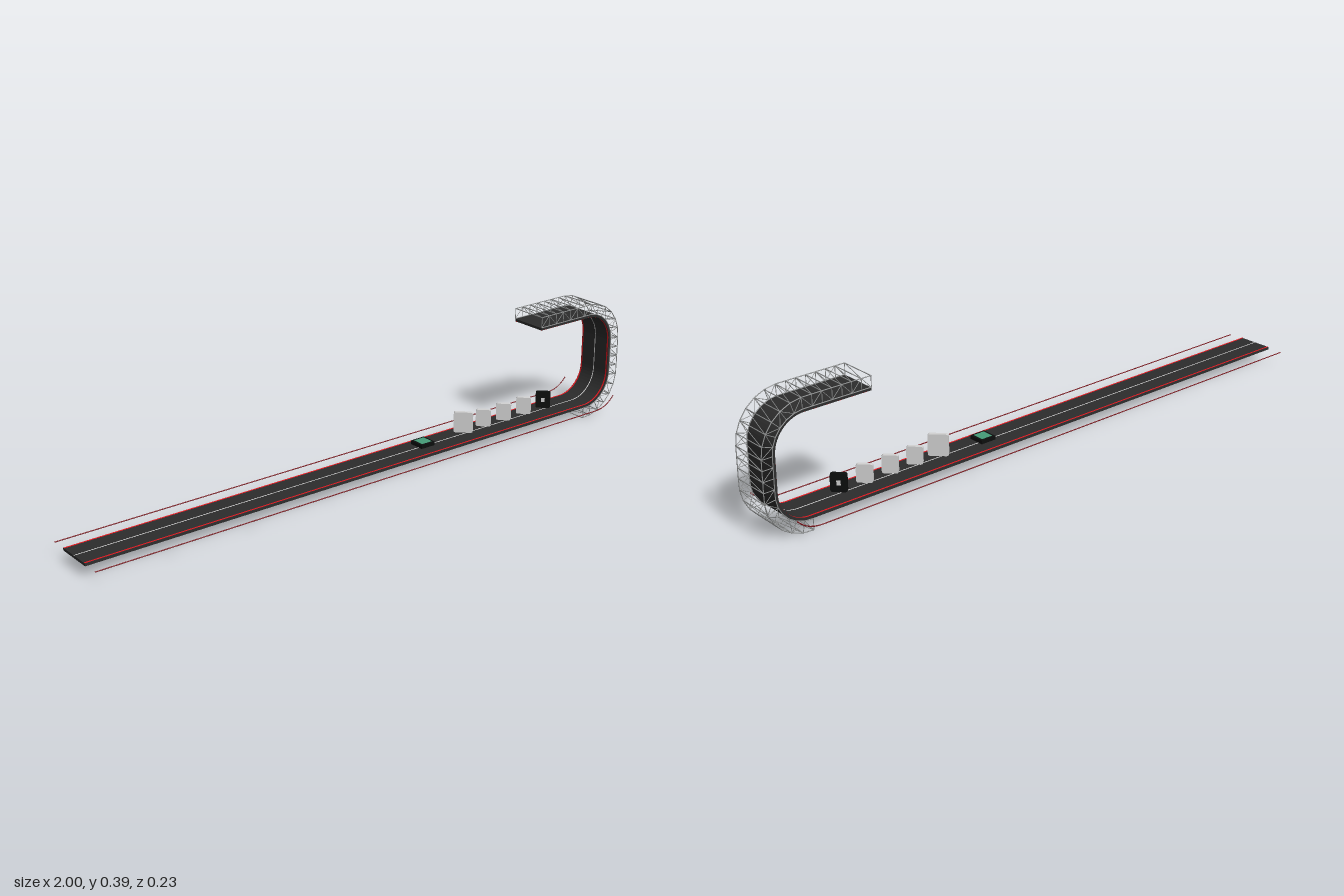
import * as THREE from 'three';
import { mergeGeometries } from 'three/addons/utils/BufferGeometryUtils.js';

const material = (name, color, side = THREE.FrontSide) => {
  const m = new THREE.MeshStandardMaterial({ color, side });
  m.name = name;
  return m;
};

// Road line in the x-y plane: flat run, quarter bend, wall, quarter bend, roof.
const R = 0.1, BEND = R * Math.PI / 2, WALL = 0.112, ROOF = 0.215;
const START = 0.86, BASE = 0.04;
const FIRST = -1 - START, END = 2 * BEND + WALL + ROOF;

// Point at distance s past the first bend's start, shifted by n towards the driving side.
function onRoad(s, n = 0) {
  const x0 = START, y0 = BASE + R, r = R - n;
  if (s <= 0) return new THREE.Vector2(x0 + s, BASE + n);
  if (s <= BEND) {
    const a = s / R;
    return new THREE.Vector2(x0 + r * Math.sin(a), y0 - r * Math.cos(a));
  }
  if (s <= BEND + WALL) return new THREE.Vector2(x0 + r, y0 + s - BEND);
  const a = (s - WALL) / R;
  if (a <= Math.PI) return new THREE.Vector2(x0 + r * Math.sin(a), y0 + WALL - r * Math.cos(a));
  return new THREE.Vector2(x0 - (s - 2 * BEND - WALL), y0 + WALL + r);
}

// Solid road slab following the whole line.
function slab(thickness, width) {
  const stops = [FIRST];
  for (let i = 0; i <= 14; i++) stops.push(BEND * i / 14);
  for (let i = 0; i <= 14; i++) stops.push(BEND + WALL + BEND * i / 14);
  stops.push(END);
  const lower = stops.map((s) => onRoad(s, -thickness / 2));
  const upper = stops.map((s) => onRoad(s, thickness / 2)).reverse();
  const g = new THREE.ExtrudeGeometry(new THREE.Shape([...lower, ...upper]), { depth: width, bevelEnabled: false });
  return g.translate(0, 0, -width / 2);
}

// Flat painted line lying just above the road.
function paintedLine(z, width) {
  const g = new THREE.PlaneGeometry(1, width, 240, 1), p = g.attributes.position;
  for (let i = 0; i < p.count; i++) {
    const q = onRoad(THREE.MathUtils.lerp(FIRST, END, p.getX(i) + 0.5), 0.0048);
    p.setXYZ(i, q.x, q.y, z - p.getY(i));
  }
  g.computeVertexNormals();
  return g;
}

// Thin round bar between two points.
function bar(a, b, r = 0.0011) {
  const d = b.clone().sub(a);
  const g = new THREE.CylinderGeometry(r, r, d.length(), 12, 1, true);
  g.applyQuaternion(new THREE.Quaternion().setFromUnitVectors(new THREE.Vector3(0, 1, 0), d.normalize()));
  const mid = a.clone().add(b).multiplyScalar(0.5);
  return g.translate(mid.x, mid.y, mid.z);
}

function roundedSlab(w, h, depth, radius) {
  const s = new THREE.Shape(), x = w / 2, y = h / 2, r = radius;
  s.moveTo(-x + r, -y);
  s.lineTo(x - r, -y);
  s.quadraticCurveTo(x, -y, x, -y + r);
  s.lineTo(x, y - r);
  s.quadraticCurveTo(x, y, x - r, y);
  s.lineTo(-x + r, y);
  s.quadraticCurveTo(-x, y, -x, y - r);
  s.lineTo(-x, -y + r);
  s.quadraticCurveTo(-x, -y, -x + r, -y);
  return new THREE.ExtrudeGeometry(s, { depth, bevelEnabled: false, curveSegments: 4 }).translate(0, 0, -depth / 2);
}

export function createModel() {
  const model = new THREE.Group();
  model.name = 'curlingTrack';
  const asphalt = material('asphalt', 0x2d2d2d);
  const red = material('edgeRed', 0xf01820, THREE.DoubleSide);
  const white = material('lineWhite', 0xffffff, THREE.DoubleSide);
  const darkRed = material('railDarkRed', 0x7a1018);
  const steel = material('latticeSteel', 0x8c8e8e, THREE.DoubleSide);
  const grey = material('panelGrey', 0xd4d4d4);
  const black = material('black', 0x0c0e0d);
  const green = material('green', 0x459c78);

  const add = (name, geometry, mat, parent = model) => {
    const m = new THREE.Mesh(geometry, mat);
    m.name = name;
    parent.add(m);
    return m;
  };

  // Road with its painted centre line
  add('road', slab(0.008, 0.12), asphalt);
  add('centreLine', paintedLine(0, 0.0034), white);

  // Red edge lines, and round side rails that curl up at the end
  const railPoints = [FIRST, -1, -0.2, -0.02, 0, 0.03, 0.06, 0.087].map((s) => onRoad(s));
  for (const side of [-1, 1]) {
    const end = side > 0 ? 'front' : 'back';
    add(end + 'EdgeLine', paintedLine(side * 0.056, 0.0055), red);
    const path = new THREE.CatmullRomCurve3(railPoints.map((p) => new THREE.Vector3(p.x, p.y, side * 0.112)));
    add(end + 'Rail', new THREE.TubeGeometry(path, 120, 0.0016, 12), darkRed);
  }

  // Lattice frame behind the bends and roof, its bays even along its own middle line
  const bays = 23, lead = -0.008, bars = [];
  const latticeBend = (R + 0.025) * Math.PI / 2;
  const latticeLength = 2 * latticeBend + WALL + ROOF;
  const unit = (v) => THREE.MathUtils.clamp(v, 0, 1);
  const node = (i, outer, side) => {
    const d = lead + (latticeLength - lead) * i / bays;
    const bent = unit(d / latticeBend) + unit((d - latticeBend - WALL) / latticeBend);
    const p = onRoad(d - (latticeBend - BEND) * bent, outer ? -0.0388 : -0.005);
    return new THREE.Vector3(p.x, p.y, side * 0.0605);
  };
  for (let i = 0; i <= bays; i++) {
    bars.push(bar(node(i, true, -1), node(i, true, 1), 0.0014));
    for (const side of [-1, 1]) {
      bars.push(bar(node(i, false, side), node(i, true, side)));
      if (i === bays) continue;
      for (const outer of [false, true]) bars.push(bar(node(i, outer, side), node(i + 1, outer, side), 0.0014));
      bars.push(bar(node(i, i % 2 === 0, side), node(i + 1, i % 2 === 1, side), 0.0009));
    }
    if (i < bays) bars.push(bar(node(i, true, -1), node(i + 1, true, 1), 0.001));
  }
  add('latticeFrame', mergeGeometries(bars), steel);

  // Row of upright panels set diagonally across the road
  const panels = [
    [0.377, 0.061, 0.068, grey], [0.462, 0.048, 0.056, grey], [0.549, 0.048, 0.056, grey],
    [0.637, 0.048, 0.056, grey], [0.724, 0.048, 0.056, black],
  ];
  panels.forEach(([x, w, h, mat], i) => {
    const panel = add('panel' + (i + 1), roundedSlab(w, h, 0.012, 0.007), mat);
    panel.position.set(x, 0.051 + h / 2, 0);
    panel.rotation.y = -Math.PI / 4;
    // Small pale mark on both faces of the black panel
    if (mat === black) add('panelMark', new THREE.BoxGeometry(0.012, 0.014, 0.013), grey, panel);
  });

  // Low black pad with a green top
  const pad = new THREE.Group();
  pad.name = 'pad';
  pad.position.set(0.211, 0, 0);
  model.add(pad);
  add('padBase', new THREE.BoxGeometry(0.052, 0.012, 0.052).translate(0, 0.057, 0), black, pad);
  add('padTop', new THREE.BoxGeometry(0.038, 0.001, 0.038).translate(0, 0.0635, 0), green, pad);

  return model;
}
